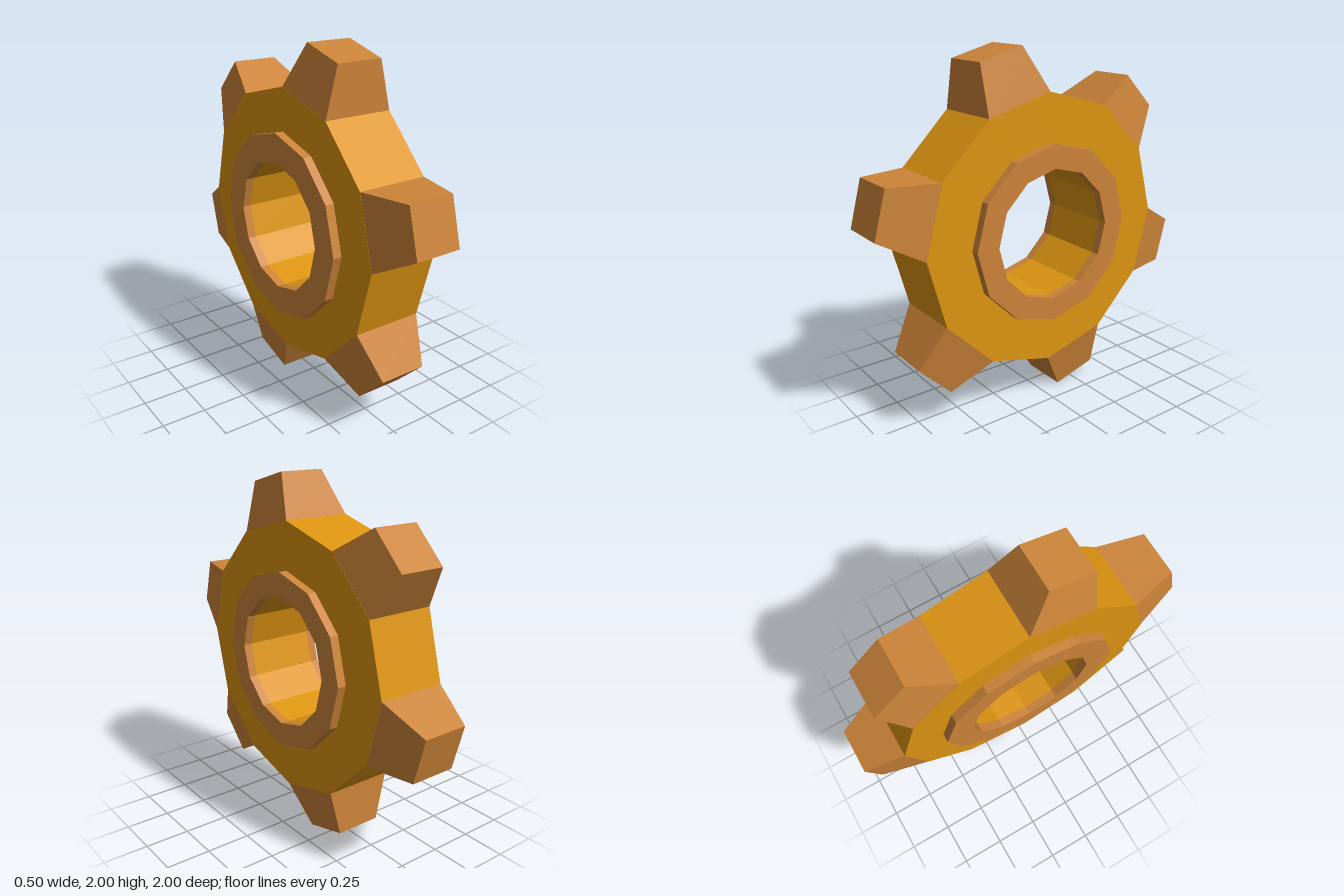
import * as THREE from 'three';

const SIDES = 12;
const HOLE = 0.367;

// Twelve-sided ring around the x axis with a rectangular section
function ring(name, outer, x0, x1, material) {
  const profile = [[HOLE, x0], [outer, x0], [outer, x1], [HOLE, x1], [HOLE, x0]]
    .map(([r, x]) => new THREE.Vector2(r, x));
  const geometry = new THREE.LatheGeometry(profile, SIDES).rotateZ(-Math.PI / 2);
  const mesh = new THREE.Mesh(geometry, material);
  mesh.name = name;
  return mesh;
}

export function createModel() {
  const gold = new THREE.MeshStandardMaterial({ color: 0xdd9411, flatShading: true });
  const bronze = new THREE.MeshStandardMaterial({ color: 0xcc8439, flatShading: true });
  const gear = new THREE.Group();
  gear.name = 'gear';

  // Main body and the raised collars on both faces
  gear.add(ring('gearBody', 0.765, -0.2, 0.2, gold));
  gear.add(ring('leftCollar', 0.5, 0.2, 0.25, bronze));
  gear.add(ring('rightCollar', 0.527, -0.25, -0.2, bronze));

  // Tapered teeth on every second facet of the rim
  const base = 0.765 * Math.cos(Math.PI / SIDES);
  const height = 1 - base;
  const tooth = new THREE.CylinderGeometry(0.133 * Math.SQRT2, 0.199 * Math.SQRT2, height, 4)
    .rotateY(Math.PI / 4)
    .translate(0, base + height / 2, 0);
  const teeth = new THREE.Group();
  teeth.name = 'teeth';
  for (let i = 0; i < 6; i++) {
    const mesh = new THREE.Mesh(tooth, bronze);
    mesh.name = 'tooth';
    mesh.rotation.x = Math.PI / 12 + (i * Math.PI) / 3;
    teeth.add(mesh);
  }
  gear.add(teeth);

  gear.position.y = 1;
  const model = new THREE.Group();
  model.name = 'gearModel';
  model.add(gear);
  return model;
}
